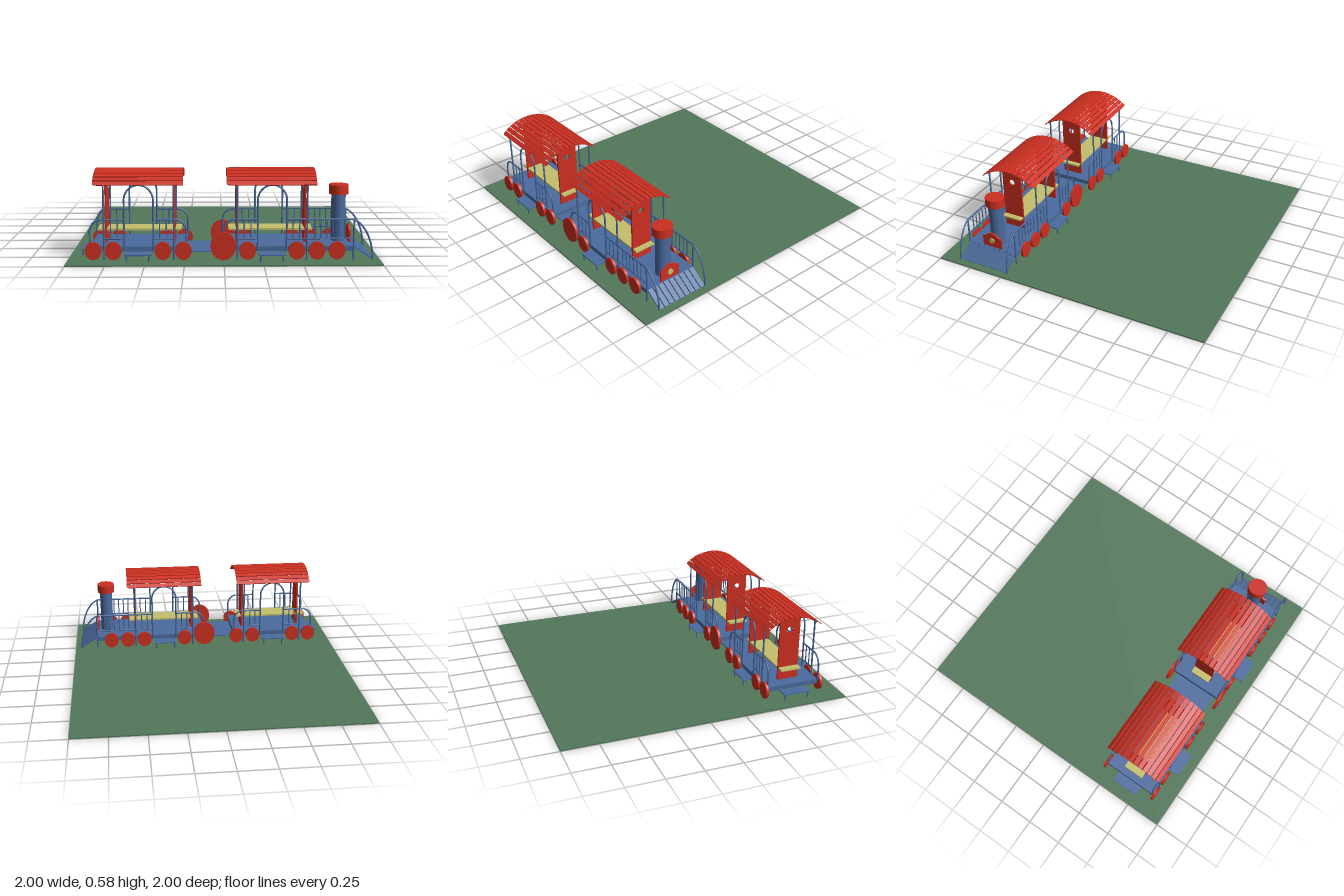
import * as THREE from 'three';

const mat = (color, side = THREE.FrontSide) => new THREE.MeshStandardMaterial({ color, side });
const red = mat(0xcc2f20), blue = mat(0x4a6a9e), yellow = mat(0xc4bf6c), green = mat(0x52785a);
const SIDE = 0.19; // half distance between the two railings
const V = (x, y, z) => new THREE.Vector3(x, y, z);

function add(parent, name, geometry, material, x = 0, y = 0, z = 0) {
  const m = new THREE.Mesh(geometry, material);
  m.name = name;
  m.position.set(x, y, z);
  parent.add(m);
  return m;
}

// Box given by its limits in x, y and z
function box(parent, name, material, x0, x1, y0, y1, z0, z1) {
  return add(parent, name, new THREE.BoxGeometry(x1 - x0, y1 - y0, z1 - z0), material,
    (x0 + x1) / 2, (y0 + y1) / 2, (z0 + z1) / 2);
}

// Straight upright bar
function upright(parent, name, x, y0, y1, z, r = 0.006) {
  add(parent, name, new THREE.CylinderGeometry(r, r, y1 - y0, 8), blue, x, (y0 + y1) / 2, z);
}

// Bent tube: straight runs between points, with an optional elliptical bend in the middle
function pipe(parent, name, curves, segments = 40, r = 0.006) {
  const path = new THREE.CurvePath();
  curves.forEach(c => path.add(c));
  add(parent, name, new THREE.TubeGeometry(path, segments, r, 8), blue);
}
const line = (a, b) => new THREE.LineCurve3(a, b);

class Arc extends THREE.Curve {
  constructor(cx, cy, z, rx, ry, a0, a1) {
    super();
    Object.assign(this, { cx, cy, z, rx, ry, a0, a1 });
  }
  getPoint(t, target = new THREE.Vector3()) {
    const a = this.a0 + (this.a1 - this.a0) * t;
    return target.set(this.cx + this.rx * Math.cos(a), this.cy + this.ry * Math.sin(a), this.z);
  }
}

// Curved roof of planks lying on two rafters
function addRoof(car, x0, x1, rafters) {
  const roof = new THREE.Group();
  roof.name = 'roof';
  car.add(roof);
  const R = 0.306, cy = 0.266, count = 12, half = 0.745, step = 2 * half / count;
  for (let i = 0; i < count; i++) {
    const a = -half + (i + 0.5) * step, w = 0.016, L = (x1 - x0) / 2;
    const c0 = i === 0 ? 0.028 : 0, c1 = i === count - 1 ? 0.028 : 0; // rounded eaves
    const s = new THREE.Shape();
    s.moveTo(-L, 0);
    s.lineTo(-L, w - 0.001);
    s.quadraticCurveTo(-L, w, -L + c0, w);
    s.lineTo(L - c0, w);
    s.quadraticCurveTo(L, w, L, 0);
    s.lineTo(L, -w + 0.001);
    s.quadraticCurveTo(L, -w, L - c1, -w);
    s.lineTo(-L + c1, -w);
    s.quadraticCurveTo(-L, -w, -L, 0);
    const g = new THREE.ExtrudeGeometry(s, { depth: 0.006, bevelEnabled: false, curveSegments: 5 });
    g.translate(0, 0, -0.003);
    g.rotateX(-Math.PI / 2 + a);
    add(roof, 'roofPlank', g, red, (x0 + x1) / 2, cy + R * Math.cos(a), R * Math.sin(a));
  }
  for (const x of rafters) {
    const g = new THREE.TorusGeometry(R - 0.009, 0.006, 8, 32, 2 * half);
    g.rotateZ(Math.PI / 2 - half);
    g.rotateY(Math.PI / 2);
    add(roof, 'roofRafter', g, blue, x, cy, 0);
  }
}

// Upright end panel with a round hole near the top
function addPanel(car, x) {
  const s = new THREE.Shape();
  s.moveTo(-0.075, 0.09);
  s.lineTo(0.075, 0.09);
  s.lineTo(0.075, 0.553);
  s.quadraticCurveTo(0, 0.57, -0.075, 0.553);
  s.closePath();
  s.holes.push(new THREE.Path().absarc(0, 0.46, 0.022, 0, Math.PI * 2, true));
  const g = new THREE.ExtrudeGeometry(s, { depth: 0.012, bevelEnabled: false });
  g.translate(0, 0, -0.006);
  g.rotateY(Math.PI / 2);
  add(car, 'endPanel', g, red, x);
}

// Wheel discs on both sides, slightly taller than wide
function addWheels(car, xs, y, rx, ry) {
  for (const x of xs) for (const s of [-1, 1]) {
    const g = new THREE.CylinderGeometry(1, 1, 0.018, 32);
    g.rotateX(Math.PI / 2);
    g.scale(rx, ry, 1);
    add(car, 'wheel', g, red, x, y, s * 0.203);
  }
}

// Parts both cars share; px is the rear post, everything else is placed from it
function makeCar(name, px, deckEnd) {
  const car = new THREE.Group();
  car.name = name;
  const back = px - 0.09, front = px + 0.445, d0 = px + 0.13, d1 = px + 0.315;
  box(car, 'deck', blue, back, deckEnd, 0.063, 0.095, -SIDE, SIDE);
  box(car, 'bench', yellow, px - 0.055, front + 0.045, 0.176, 0.188, -0.073, 0.073);
  addRoof(car, px - 0.068, px + 0.505, [px, front]);
  for (const x of [px, front]) addPanel(car, x);
  for (const s of [-1, 1]) {
    const z = s * SIDE, r = (d1 - d0) / 2;
    for (const x of [px, front]) upright(car, 'post', x, 0.008, 0.49, z);
    pipe(car, 'doorArch', [line(V(d0, 0.065, z), V(d0, 0.395, z)),
      new Arc(d0 + r, 0.395, z, r, 0.097, Math.PI, 0),
      line(V(d1, 0.395, z), V(d1, 0.065, z))], 80);
    pipe(car, 'rearHandrail', [line(V(back, 0.08, z), V(back, 0.19, z)),
      new Arc(back + 0.07, 0.19, z, 0.07, 0.08, Math.PI, Math.PI / 2),
      line(V(back + 0.07, 0.27, z), V(d0, 0.27, z))]);
    pipe(car, 'lowerRail', [line(V(px, 0.145, z), V(d0, 0.145, z))], 1, 0.005);
    for (const x of [px + 0.043, px + 0.086]) upright(car, 'baluster', x, 0.145, 0.27, z, 0.004);
    for (const x of [d1 + 0.04, d1 + 0.083]) upright(car, 'baluster', x, 0.145, 0.27, z, 0.004);
    // Boarding step on two legs
    const a = px + 0.133, b = px + 0.305;
    box(car, 'sideStep', blue, a, b, 0.05, 0.057, Math.min(s * 0.17, s * 0.265), Math.max(s * 0.17, s * 0.265));
    for (const x of [a + 0.015, b - 0.015]) upright(car, 'stepLeg', x, 0.006, 0.052, s * 0.257, 0.005);
  }
  return car;
}

export function createModel() {
  const model = new THREE.Group();
  box(model, 'ground', green, -1, 1, 0, 0.008, -1, 1);
  const train = new THREE.Group();
  train.name = 'train';
  train.position.z = 0.667;
  model.add(train);

  // Rear passenger car
  const wagon = makeCar('wagon', -0.765, -0.24);
  train.add(wagon);
  addWheels(wagon, [-0.834, -0.706, -0.39, -0.26], 0.07, 0.053, 0.058);
  for (const s of [-1, 1]) {
    const z = s * SIDE;
    pipe(wagon, 'frontHandrail', [line(V(-0.45, 0.27, z), V(-0.31, 0.27, z)),
      new Arc(-0.31, 0.19, z, 0.07, 0.08, Math.PI / 2, 0),
      line(V(-0.24, 0.19, z), V(-0.24, 0.08, z))]);
    pipe(wagon, 'lowerRail', [line(V(-0.45, 0.145, z), V(-0.32, 0.145, z))], 1, 0.005);
    upright(wagon, 'rearStepLeg', -0.915, 0.006, 0.052, s * 0.085, 0.005);
  }
  box(wagon, 'rearStep', blue, -0.925, -0.85, 0.05, 0.057, -0.095, 0.095);
  box(train, 'couplingPlate', blue, -0.245, 0.005, 0.05, 0.057, -0.155, 0.155);

  // Engine
  const engine = makeCar('engine', 0.085, 0.835);
  train.add(engine);
  addWheels(engine, [0.15, 0.465, 0.594, 0.722], 0.07, 0.053, 0.058);
  addWheels(engine, [-0.005], 0.1, 0.081, 0.091);
  for (const s of [-1, 1]) {
    const z = s * SIDE;
    pipe(engine, 'noseHandrail', [line(V(0.4, 0.27, z), V(0.83, 0.27, z)),
      new Arc(0.78, 0.01, z, 0.172, 0.271, 1.28, 0)], 60);
    pipe(engine, 'lowerRail', [line(V(0.4, 0.145, z), V(0.83, 0.145, z))], 1, 0.005);
    for (let i = 0; i < 6; i++) upright(engine, 'baluster', 0.582 + i * 0.038, 0.145, 0.27, z, 0.004);
    upright(engine, 'nosePost', 0.83, 0.008, 0.27, z);
  }

  // Chimney
  const pillar = new THREE.CylinderGeometry(0.05, 0.05, 0.32, 32).scale(0.94, 1, 1);
  add(engine, 'chimney', pillar, blue, 0.753, 0.25, 0);
  const cap = new THREE.CylinderGeometry(0.069, 0.069, 0.062, 32).scale(0.92, 1, 1);
  add(engine, 'chimneyCap', cap, red, 0.753, 0.435, 0);

  // Nose plate with headlamp
  const plate = new THREE.Shape();
  plate.moveTo(-0.075, 0.09);
  plate.lineTo(0.075, 0.09);
  plate.lineTo(0.075, 0.17);
  plate.lineTo(0.05, 0.18);
  plate.quadraticCurveTo(0, 0.232, -0.05, 0.18);
  plate.lineTo(-0.075, 0.17);
  const plateGeo = new THREE.ExtrudeGeometry(plate, { depth: 0.012, bevelEnabled: false });
  plateGeo.rotateY(Math.PI / 2);
  add(engine, 'nosePlate', plateGeo, red, 0.816);
  const lamp = new THREE.CylinderGeometry(0.02, 0.02, 0.01, 24).rotateZ(Math.PI / 2);
  add(engine, 'headlamp', lamp, yellow, 0.831, 0.147, 0);

  // Sloping planks at the nose
  const run = 0.12, drop = 0.08, n = 9, pitch = 2 * SIDE / n;
  for (let i = 0; i < n; i++) {
    const g = new THREE.BoxGeometry(Math.hypot(run, drop), 0.008, pitch - 0.008);
    g.rotateZ(-Math.atan2(drop, run));
    add(engine, 'nosePlank', g, blue, 0.832 + run / 2, 0.052, -SIDE + (i + 0.5) * pitch);
  }
  return model;
}
